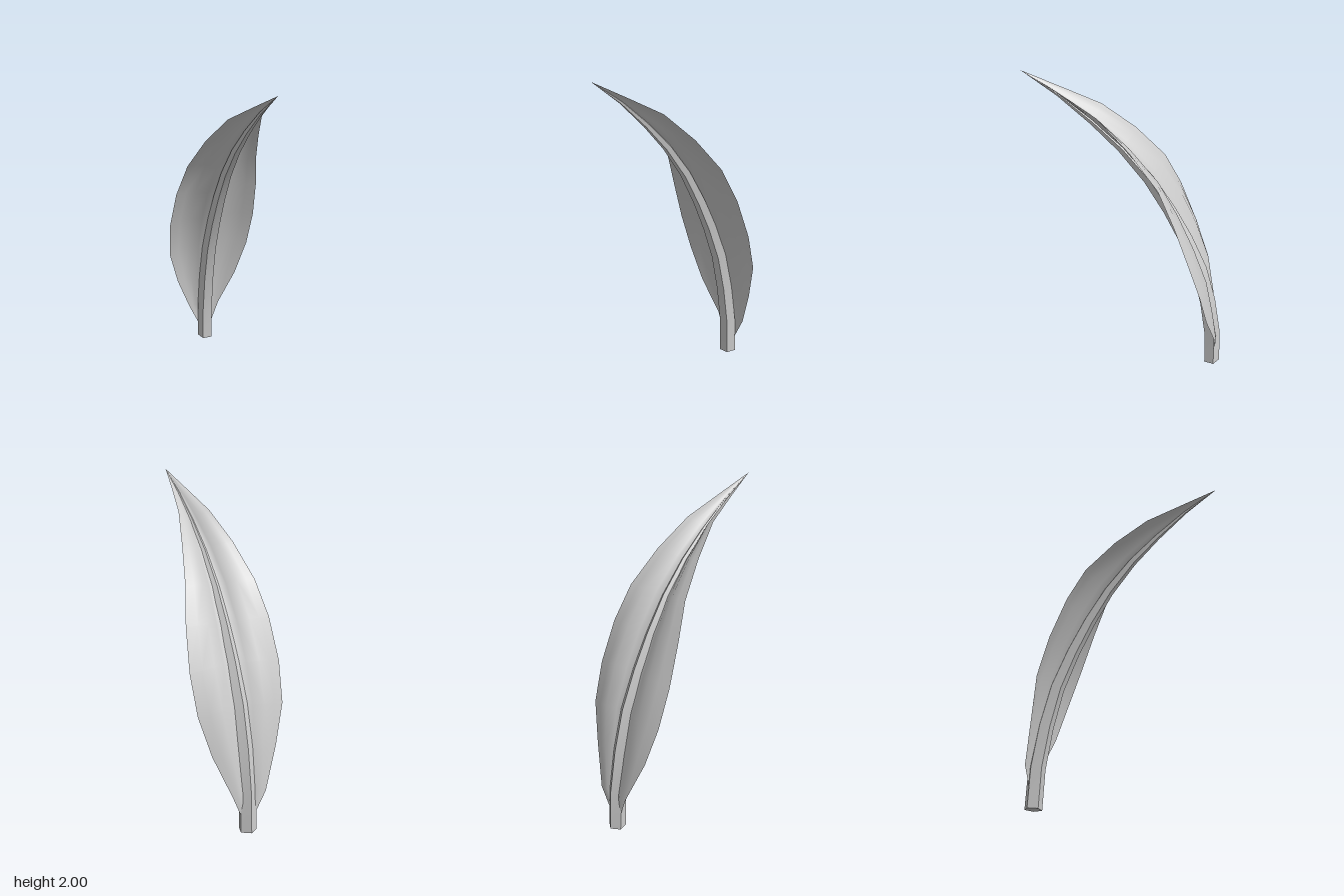
import * as THREE from 'three';
import { toCreasedNormals } from 'three/addons/utils/BufferGeometryUtils.js';

// Stations from base to tip: [y, z] of the stem's front face
const FRONT = [[0, -0.51], [0.24, -0.5], [0.49, -0.46], [0.73, -0.4], [0.95, -0.31], [1.15, -0.21],
  [1.35, -0.09], [1.54, 0.06], [1.7, 0.22], [1.86, 0.405], [2, 0.605]];
// Blade margin at the same stations: [half width, y, z]
const MARGIN = [[0, 0, -0.553], [0.108, 0.24, -0.573], [0.208, 0.485, -0.507], [0.274, 0.72, -0.458],
  [0.288, 0.955, -0.382], [0.268, 1.2, -0.29], [0.224, 1.41, -0.19], [0.166, 1.61, -0.02],
  [0.102, 1.78, 0.172], [0.05, 1.89, 0.385], [0, 2, 0.605]];

const SIDES = 5;
const LAST = FRONT.length - 1;

// Stem centre, radius and backward normal at each station
const spine = FRONT.map(([y, z], i) => {
  const a = FRONT[Math.max(i - 1, 0)], b = FRONT[Math.min(i + 1, LAST)];
  const len = Math.hypot(b[0] - a[0], b[1] - a[1]);
  const ny = (b[1] - a[1]) / len, nz = -(b[0] - a[0]) / len;
  const r = 0.054 * (0.605 - z) / 1.115;
  return { r, ny, nz, y: y + ny * r * 0.81, z: z + nz * r * 0.81 };
});

function geometryFrom(positions, index) {
  const g = new THREE.BufferGeometry();
  g.setAttribute('position', new THREE.Float32BufferAttribute(positions, 3));
  g.setIndex(index);
  g.computeVertexNormals();
  return g;
}

// Tapering five-sided stem with its ridge at the back
function stemGeometry() {
  const pos = [], idx = [];
  for (const s of spine) {
    for (let k = 0; k < SIDES; k++) {
      const a = (k / SIDES) * Math.PI * 2, d = s.r * Math.cos(a);
      pos.push(s.r * Math.sin(a), s.y + s.ny * d, s.z + s.nz * d);
    }
  }
  for (let i = 0; i < LAST; i++) {
    for (let k = 0; k < SIDES; k++) {
      const a = i * SIDES + k, b = i * SIDES + (k + 1) % SIDES;
      idx.push(a, a + SIDES, b);
      if (i < LAST - 1) idx.push(b, a + SIDES, b + SIDES);
    }
  }
  for (let k = 1; k < SIDES - 1; k++) idx.push(0, k, k + 1); // base cap
  return toCreasedNormals(geometryFrom(pos, idx), 0.6);
}

// Blade: one sheet through the stem's centre, each half bulging backward between stem and margin
function bladeGeometry() {
  const pos = [], idx = [], half = 4, cols = half * 2 + 1;
  spine.forEach((s, i) => {
    const [w, y, z] = MARGIN[i];
    for (let j = -half; j <= half; j++) {
      const u = Math.abs(j) / half;
      const bulge = 0.16 * w * Math.max(0, Math.sin(Math.PI * u)) ** 1.5;
      pos.push(w * j / half, s.y + (y - s.y) * u + s.ny * bulge, s.z + (z - s.z) * u + s.nz * bulge);
    }
  });
  for (let i = 0; i < LAST; i++) {
    for (let j = 0; j < cols - 1; j++) {
      const a = i * cols + j, b = a + 1, c = a + cols, d = c + 1;
      // mirrored diagonals on the two halves
      if (j < half) idx.push(a, b, d, a, d, c);
      else idx.push(a, b, c, b, d, c);
    }
  }
  return geometryFrom(pos, idx);
}

export function createModel() {
  const group = new THREE.Group();
  group.name = 'leaf';
  const add = (name, geometry, side) => {
    const mesh = new THREE.Mesh(geometry, new THREE.MeshStandardMaterial({ color: 0xcccccc, side }));
    mesh.name = name;
    group.add(mesh);
  };
  add('stem', stemGeometry(), THREE.FrontSide);
  add('blade', bladeGeometry(), THREE.DoubleSide);
  return group;
}
